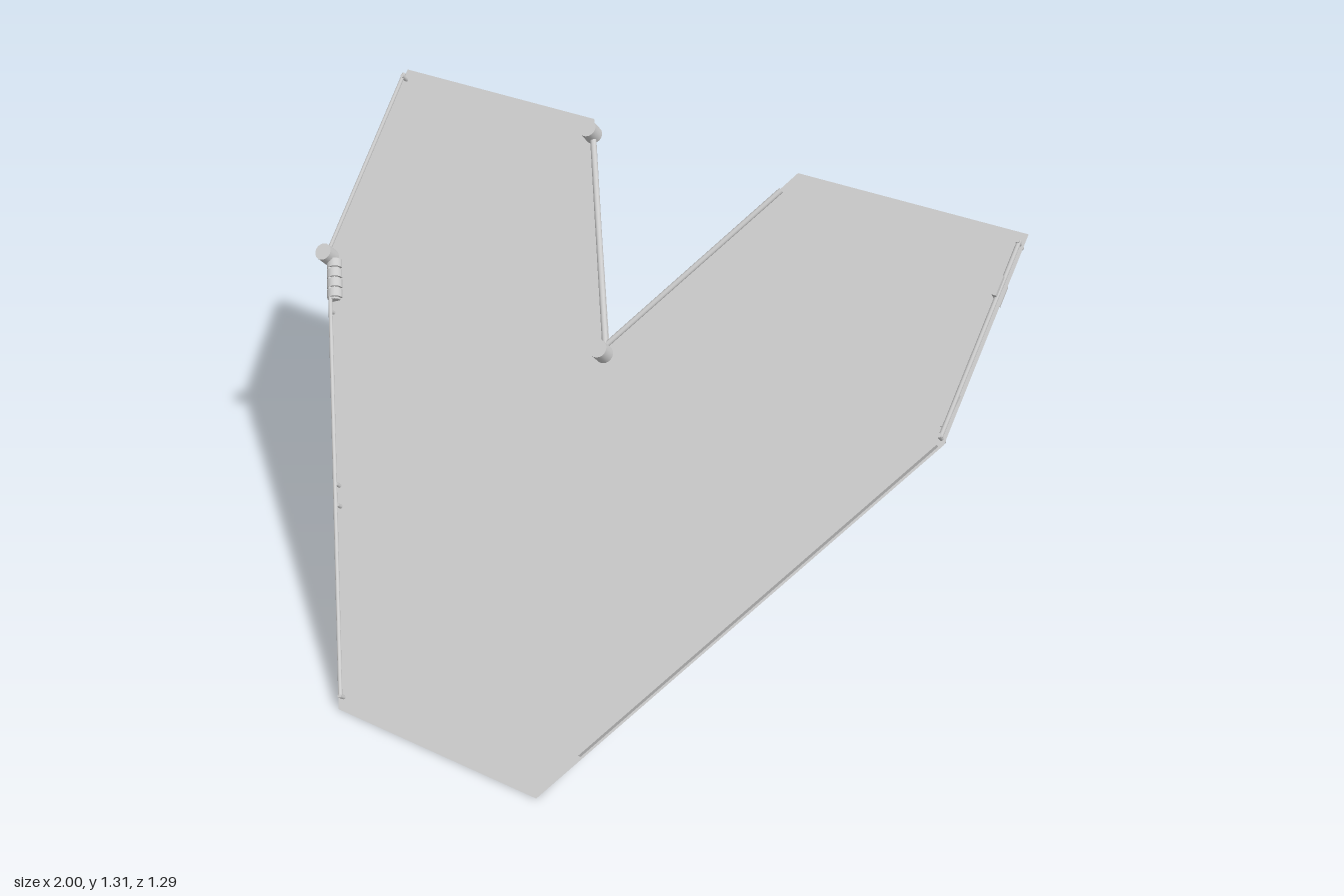
import * as THREE from 'three';

const mat = new THREE.MeshStandardMaterial({ color: 0xcccccc });
const sheetMat = new THREE.MeshStandardMaterial({ color: 0xcccccc, side: THREE.DoubleSide });
const S = Math.SQRT2; // the sheet leans back 45 degrees, so heights stretch along it

// Point on the sheet at front position (x, y), lifted w along its normal
const P = (x, y, w = 0) => new THREE.Vector3(x, y * S, w);

export function createModel() {
  const model = new THREE.Group();
  const tilted = new THREE.Group();
  tilted.name = 'tiltedAssembly';
  tilted.rotation.x = -Math.PI / 4;
  tilted.position.z = 0.638;
  model.add(tilted);

  function add(name, geometry) {
    const mesh = new THREE.Mesh(geometry, mat);
    mesh.name = name;
    tilted.add(mesh);
    return mesh;
  }
  // Round bar between two points
  function rod(name, a, b, r, sides = 10) {
    const mesh = add(name, new THREE.CylinderGeometry(r, r, a.distanceTo(b), sides));
    mesh.position.lerpVectors(a, b, 0.5);
    mesh.quaternion.setFromUnitVectors(new THREE.Vector3(0, 1, 0), b.clone().sub(a).normalize());
    return mesh;
  }
  // Flat block lying along an edge of the sheet
  function block(name, a, b, width, thick) {
    const mesh = add(name, new THREE.BoxGeometry(width, a.distanceTo(b), thick));
    mesh.position.lerpVectors(a, b, 0.5);
    mesh.rotation.z = Math.atan2(a.x - b.x, b.y - a.y);
  }

  // V-shaped sheet
  const outline = [[-0.33, 0], [0.33, 0], [1, 0.87], [1, 1.29], [0.33, 1.29],
    [0, 0.86], [-0.33, 1.29], [-1, 1.29], [-1, 0.87]];
  const shape = new THREE.Shape(outline.map(([x, y]) => new THREE.Vector2(x, y * S)));
  add('sheet', new THREE.ShapeGeometry(shape)).material = sheetMat;

  // Rods along the notch
  rod('notchRodRight', P(-0.31, 1.262, 0.015), P(0, 0.85, 0.015), 0.009);
  rod('notchRodLeft', P(0.31, 1.245, 0.015), P(0, 0.85, 0.015), 0.008);

  // Rods along the outer edges
  rod('upperRodRight', P(-0.99, 1.275, 0.022), P(-0.978, 0.865, 0.022), 0.006);
  rod('lowerRodRight', P(-0.97, 0.85, 0.02), P(-0.33, 0.025, 0.02), 0.006);
  rod('upperRodLeft', P(0.99, 1.27, 0.02), P(0.99, 0.88, 0.02), 0.006);
  block('lowerBarLeft', P(0.40, 0.105, 0.017), P(0.985, 0.865, 0.017), 0.012, 0.018);

  // Round caps standing on the sheet
  for (const [x, y, r] of [[-0.31, 1.257, 0.026], [0, 0.835, 0.026], [-0.975, 0.85, 0.026]]) {
    rod('cap', P(x, y, 0), P(x, y, 0.05), r, 20);
  }

  // Ribbed sleeve around the lower right rod
  const sleeveTop = P(-0.955, 0.845, 0.006), sleeveEnd = P(-0.895, 0.765, 0.006);
  rod('sleeveCore', sleeveTop, sleeveEnd, 0.017, 14);
  for (let i = 0; i < 4; i++) {
    const a = sleeveTop.clone().lerp(sleeveEnd, i / 4);
    const b = sleeveTop.clone().lerp(sleeveEnd, (i + 0.8) / 4);
    rod('sleeveRing', a, b, 0.023, 14);
  }

  // Pegs passing through the sheet
  const pegs = [[-0.33, 0.025, 0.025], [-0.59, 0.37, 0.022], [-0.622, 0.408, 0.022],
    [-0.885, 0.74, 0.02], [-0.988, 1.267, 0.03], [0.988, 1.267, 0.03], [0.988, 0.88, 0.03]];
  for (const [x, y, top] of pegs) rod('peg', P(x, y, -0.027), P(x, y, top), 0.006, 8);

  // Small blocks on the left upper edge
  block('upperBlock', P(0.986, 1.155, 0.024), P(0.986, 1.195, 0.024), 0.012, 0.03);
  block('upperBlockBelow', P(0.986, 1.15, -0.016), P(0.986, 1.19, -0.016), 0.012, 0.032);
  block('lowerBlock', P(0.98, 0.9, -0.006), P(0.986, 0.965, -0.006), 0.014, 0.026);

  return model;
}
